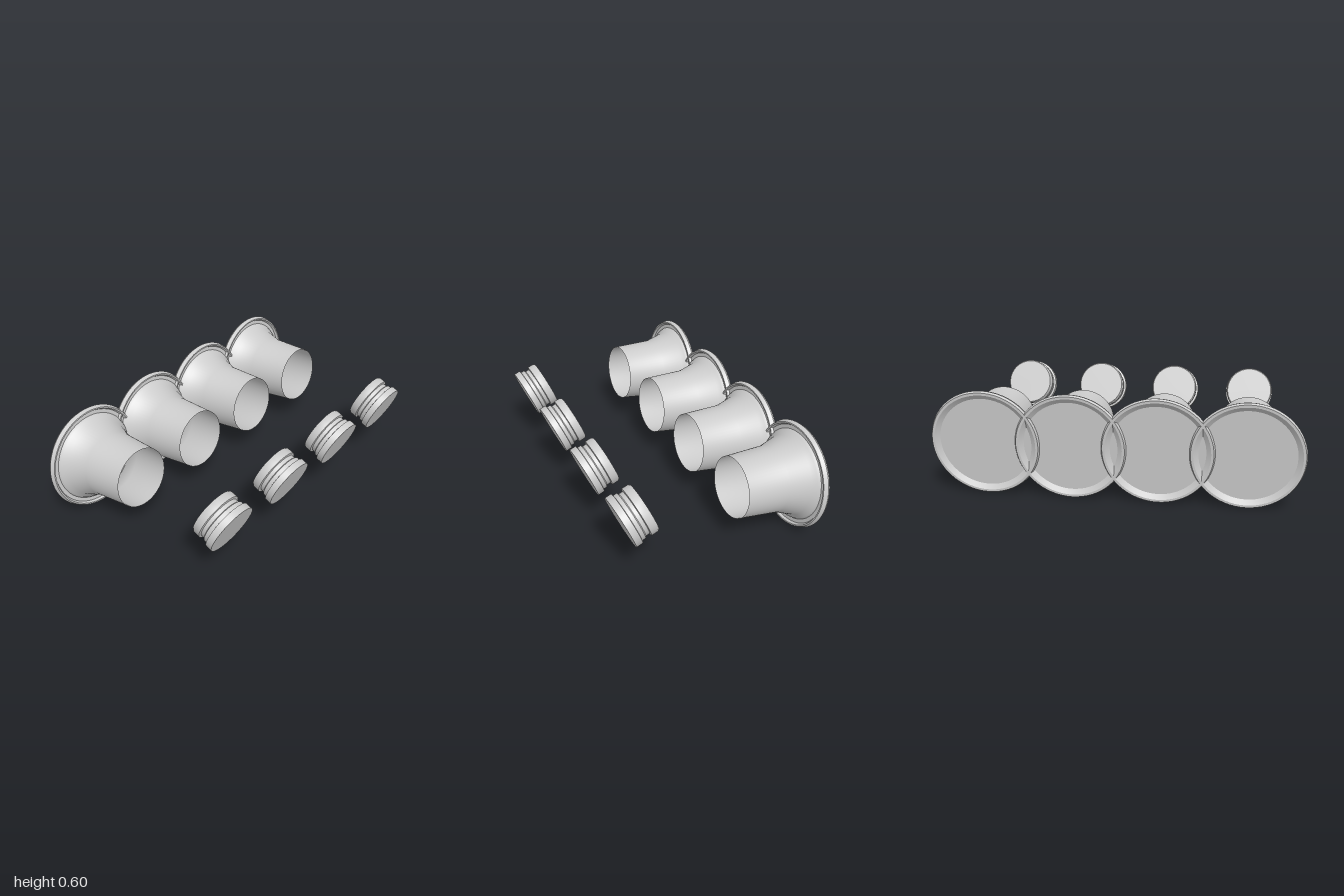
import * as THREE from 'three';
import { toCreasedNormals } from 'three/addons/utils/BufferGeometryUtils.js';

const SPACING = 0.4667;

// Profiles are [radius, distance along the axis], walked so the outside faces out.
const HORN = [
  [0.254, 0.018], [0.28, 0], [0.294, 0], [0.301, 0.013], [0.292, 0.037], [0.284, 0.037],
  [0.276, 0.022], [0.254, 0.022], [0.245, 0.038], [0.221, 0.058], [0.184, 0.168], [0.168, 0.411],
];
const PLUG = [
  [0, 0], [0.132, 0], [0.138, 0.009], [0.138, 0.047], [0.124, 0.05], [0.124, 0.072],
  [0.133, 0.078], [0.133, 0.1], [0.145, 0.103], [0.145, 0.141], [0, 0.141],
];

function turned(profile) {
  const points = profile.map(([r, t]) => new THREE.Vector2(r, t));
  return toCreasedNormals(new THREE.LatheGeometry(points, 64), 0.6);
}

export function createModel() {
  const model = new THREE.Group();
  model.name = 'intakeHornsAndPlugs';

  const metal = new THREE.MeshStandardMaterial({ color: 0xcccccc, side: THREE.DoubleSide });
  metal.name = 'light grey metal';

  const hornGeometry = turned(HORN);
  const plugGeometry = turned(PLUG);
  const backGeometry = new THREE.CircleGeometry(0.256, 64);
  backGeometry.rotateX(Math.PI / 2); // faces away from the tube

  for (let i = 0; i < 4; i++) {
    const z = (1.5 - i) * SPACING;

    // Flared horn, tilted slightly upwards, open at the narrow end
    const horn = new THREE.Group();
    horn.name = `horn${i + 1}`;
    const bell = new THREE.Mesh(hornGeometry, metal);
    bell.name = 'bellAndRim';
    const back = new THREE.Mesh(backGeometry, metal);
    back.name = 'backDisc';
    back.position.y = 0.018;
    horn.add(bell, back);
    horn.position.set(-0.539, 0.302, z);
    horn.rotation.z = Math.atan2(0.0995, 0.995) - Math.PI / 2;
    model.add(horn);

    // Grooved plug, tilted downwards
    const plug = new THREE.Mesh(plugGeometry, metal);
    plug.name = `plug${i + 1}`;
    plug.position.set(0.381, 0.397, z);
    plug.rotation.z = Math.atan2(-0.365, 0.931) - Math.PI / 2;
    model.add(plug);
  }
  return model;
}
